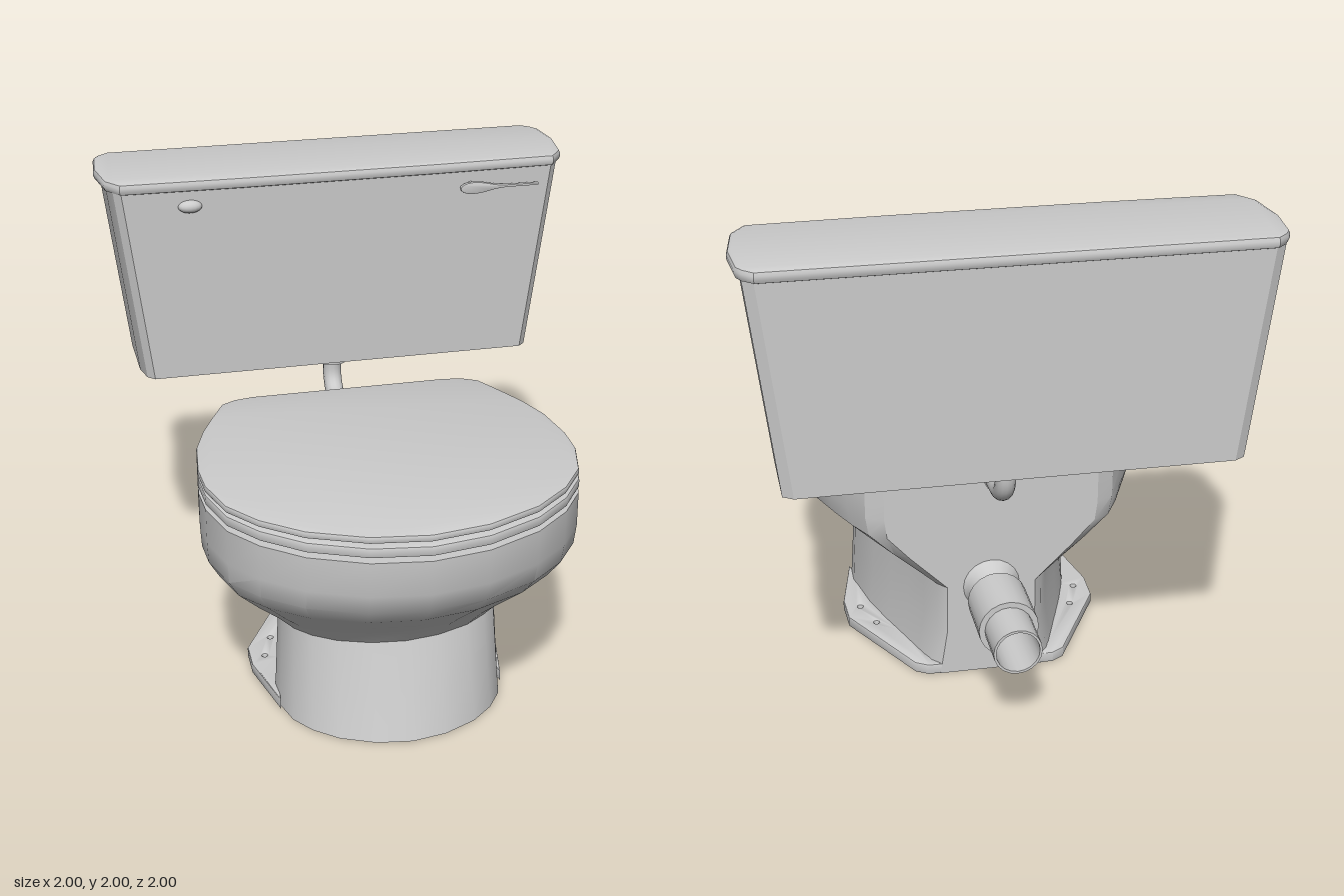
import * as THREE from 'three';
import { toCreasedNormals } from 'three/addons/utils/BufferGeometryUtils.js';

const grey = new THREE.MeshStandardMaterial({ color: 0xcccccc, side: THREE.DoubleSide });

// Half outlines as [x, z], running from the front to the back
const FRONT = [[0, 1], [0.23, 0.965], [0.45, 0.865], [0.6, 0.735], [0.7, 0.59], [0.75, 0.4],
  [0.755, 0.25], [0.73, 0.05], [0.68, -0.1], [0.62, -0.23], [0.56, -0.35]];
const RIM = [...FRONT, [0.5, -0.45], [0.43, -0.49]];
const SEAT = [...FRONT, [0.5, -0.385], [0.42, -0.4]];

// Completes a half outline with its mirror image
function mirrored(half) {
  const other = half.filter(([x]) => x !== 0).map(([x, z]) => [-x, z]).reverse();
  return [...half, ...other];
}

function shapeOf(points) {
  return new THREE.Shape(points.map(([x, z]) => new THREE.Vector2(x, z)));
}

// Horizontal slab from a plan shape, with a small bevel
function slab(shape, y0, y1, bevel) {
  const g = new THREE.ExtrudeGeometry(shape, {
    depth: y1 - y0 - 2 * bevel, bevelEnabled: bevel > 0, bevelSize: bevel,
    bevelThickness: bevel, bevelOffset: -bevel, bevelSegments: 2, curveSegments: 8,
  });
  g.rotateX(Math.PI / 2);
  g.translate(0, y1 - bevel, 0);
  return toCreasedNormals(g, 0.6);
}

// Skin over stacked rings of [x, y, z], lowest first
function loft(rings, capBottom, capTop, crease) {
  const n = rings[0].length, pos = [];
  const tri = (a, b, c) => pos.push(...a, ...b, ...c);
  for (let r = 0; r < rings.length - 1; r++) {
    for (let i = 0; i < n; i++) {
      const j = (i + 1) % n, lo = rings[r], hi = rings[r + 1];
      tri(lo[i], lo[j], hi[j]);
      tri(lo[i], hi[j], hi[i]);
    }
  }
  const cap = (ring, up) => {
    const c = [0, 1, 2].map((k) => ring.reduce((s, p) => s + p[k], 0) / n);
    ring.forEach((p, i) => (up ? tri(c, p, ring[(i + 1) % n]) : tri(c, ring[(i + 1) % n], p)));
  };
  if (capBottom) cap(rings[0], false);
  if (capTop) cap(rings[rings.length - 1], true);
  const g = new THREE.BufferGeometry();
  g.setAttribute('position', new THREE.Float32BufferAttribute(pos, 3));
  return toCreasedNormals(g, crease);
}

// Lathe along -z from [radius, distance] pairs
function pipeAlongBack(profile, sides, y, z) {
  const g = new THREE.LatheGeometry(profile.map(([r, d]) => new THREE.Vector2(r, d)), sides);
  g.rotateX(-Math.PI / 2);
  g.translate(0, y, z);
  return toCreasedNormals(g, 0.6);
}

export function createModel() {
  const root = new THREE.Group();
  const add = (name, geometry, x = 0, y = 0, z = 0) => {
    const m = new THREE.Mesh(geometry, grey);
    m.name = name;
    m.position.set(x, y, z);
    root.add(m);
    return m;
  };

  // Bowl and pedestal: [y, half width, front z, half width of the back panel]
  const levels = [[0, 0.47, 0.73, 0.21], [0.2, 0.46, 0.67, 0.18], [0.4, 0.45, 0.615, 0.18],
    [0.47, 0.52, 0.67, 0.25], [0.55, 0.61, 0.76, 0.33], [0.65, 0.705, 0.885, 0.42],
    [0.73, 0.75, 0.96, 0.43], [0.82, 0.755, 0.995, 0.43], [0.965, 0.755, 1, 0.43]];
  const rings = levels.map(([y, w, f, b]) => mirrored(RIM.map(([x, z]) => {
    if (z > 0.25) return [x * w / 0.755, 0.25 + (z - 0.25) * (f - 0.25) / 0.75];
    const t = (0.25 - z) / 0.74;
    return [x * THREE.MathUtils.lerp(w / 0.755, b / 0.43, t), z];
  })).map(([x, z]) => [x, y, z]));
  add('bowlAndPedestal', loft(rings, false, true, 0.5));

  // Basin underside and trap inside the hollow pedestal
  const basin = new THREE.SphereGeometry(1, 20, 8, 0, Math.PI * 2, Math.PI / 2, Math.PI / 2);
  basin.scale(0.48, 0.45, 0.48);
  add('basin', basin, 0, 0.77, 0.22);
  const trapPath = new THREE.CatmullRomCurve3([[0.38, 0.2], [0.24, 0.1], [0.2, -0.05],
    [0.32, -0.2], [0.4, -0.34], [0.4, -0.49]].map(([y, z]) => new THREE.Vector3(0, y, z)));
  add('trap', new THREE.TubeGeometry(trapPath, 20, 0.1, 14));

  // Foot flanges with screw holes
  for (const s of [1, -1]) {
    const flange = shapeOf([[0.19, -0.49], [0.26, -0.49], [0.31, -0.46], [0.53, -0.06], [0.535, 0.08],
      [0.47, 0.38], [0.45, 0.25], [0.4, 0.05], [0.33, -0.2], [0.26, -0.4]].map(([x, z]) => [s * x, z]));
    for (const [x, z] of [[0.47, 0.02], [0.42, -0.12]]) {
      flange.holes.push(new THREE.Path().absarc(s * x, z, 0.012, 0, Math.PI * 2));
    }
    add('footFlange', slab(flange, 0, 0.045, 0.006));
  }

  // Seat ring and closed lid
  const seat = shapeOf(mirrored(SEAT));
  seat.holes.push(new THREE.Path().absellipse(0, 0.3, 0.48, 0.5, 0, Math.PI * 2));
  add('seat', slab(seat, 0.985, 1.027, 0.008));
  add('lid', slab(shapeOf(mirrored(SEAT.map(([x, z]) => [x, z > 0.25 ? z * 0.985 : z]))), 1.037, 1.067, 0.008));

  // Buffers under seat and lid, and hinges
  for (const s of [1, -1]) {
    for (const [x, z] of [[0.35, 0.67], [0.5, -0.12]]) {
      add('seatBuffer', new THREE.BoxGeometry(0.1, 0.024, 0.09), s * x, 0.976, z);
      add('lidBuffer', new THREE.BoxGeometry(0.06, 0.014, 0.05), s * x, 1.032, z);
    }
    add('hingePlate', new THREE.CylinderGeometry(0.058, 0.06, 0.012, 16), s * 0.35, 0.971, -0.43);
    const bracket = new THREE.Shape([[-0.36, 0.975], [-0.36, 1.035], [-0.4, 1.035], [-0.45, 0.985],
      [-0.45, 0.975]].map(([z, y]) => new THREE.Vector2(-z, y)));
    const hinge = new THREE.ExtrudeGeometry(bracket, { depth: 0.05, bevelEnabled: false });
    hinge.rotateY(Math.PI / 2);
    add('hinge', hinge, s * 0.35 - 0.025);
  }

  // Waste outlet with collar, open at the end
  add('wasteOutlet', pipeAlongBack([[0.115, 0], [0.1, 0.02], [0.085, 0.06], [0.1, 0.11], [0.118, 0.11],
    [0.118, 0.34], [0.095, 0.34], [0.095, 0.51], [0.085, 0.51], [0.085, 0.1]], 20, 0.395, -0.49));

  // Flush pipe with an elbow and two nuts
  const flush = new THREE.CurvePath();
  const v = (y, z) => new THREE.Vector3(0, y, z);
  flush.add(new THREE.LineCurve3(v(1.1, -0.745), v(1.03, -0.745)));
  flush.add(new THREE.CubicBezierCurve3(v(1.03, -0.745), v(0.95, -0.745), v(0.905, -0.69), v(0.905, -0.6)));
  flush.add(new THREE.LineCurve3(v(0.905, -0.6), v(0.905, -0.49)));
  add('flushPipe', new THREE.TubeGeometry(flush, 24, 0.04, 14));
  add('tankNut', toCreasedNormals(new THREE.CylinderGeometry(0.066, 0.066, 0.07, 14), 0.6), 0, 1.09, -0.745);
  add('bowlNut', pipeAlongBack([[0, 0], [0.045, 0], [0.045, 0.08], [0, 0.08]], 14, 0.905, -0.49));

  // Tapered tank with chamfered corners
  const tankRing = (y, w, front) => mirrored([[w - 0.05, front], [w - 0.02, front - 0.03], [w, front - 0.12],
    [w, -0.955], [w - 0.04, -0.98]]).map(([x, z]) => [x, y, z]);
  add('tank', loft([tankRing(1.12, 0.86, -0.555), tankRing(1.96, 0.965, -0.525)], true, true, 0.4));
  add('tankLid', slab(shapeOf(mirrored([[0.4, -0.502], [0.92, -0.512], [0.975, -0.59], [1, -0.77], [0.985, -0.93],
    [0.965, -0.965], [0.925, -1]])), 1.95, 2, 0.018));

  // Oval button and flush lever on the tank front
  const button = new THREE.SphereGeometry(1, 16, 10);
  button.scale(0.05, 0.027, 0.03);
  add('button', button, -0.635, 1.885, -0.525);
  const leverShape = new THREE.Shape();
  leverShape.moveTo(0.85, 1.89);
  leverShape.lineTo(0.71, 1.891);
  leverShape.bezierCurveTo(0.64, 1.892, 0.62, 1.912, 0.56, 1.911);
  leverShape.bezierCurveTo(0.49, 1.908, 0.49, 1.862, 0.56, 1.86);
  leverShape.bezierCurveTo(0.62, 1.86, 0.64, 1.878, 0.71, 1.88);
  leverShape.lineTo(0.85, 1.88);
  const lever = new THREE.ExtrudeGeometry(leverShape, {
    depth: 0.012, bevelSize: 0.003, bevelOffset: -0.003, bevelThickness: 0.004, bevelSegments: 2, curveSegments: 8,
  });
  add('flushLever', toCreasedNormals(lever, 0.6), 0, 0, -0.504);
  const pivot = new THREE.CylinderGeometry(0.02, 0.02, 0.04, 12);
  pivot.rotateX(Math.PI / 2);
  add('leverPivot', pivot, 0.56, 1.886, -0.515);

  return root;
}
